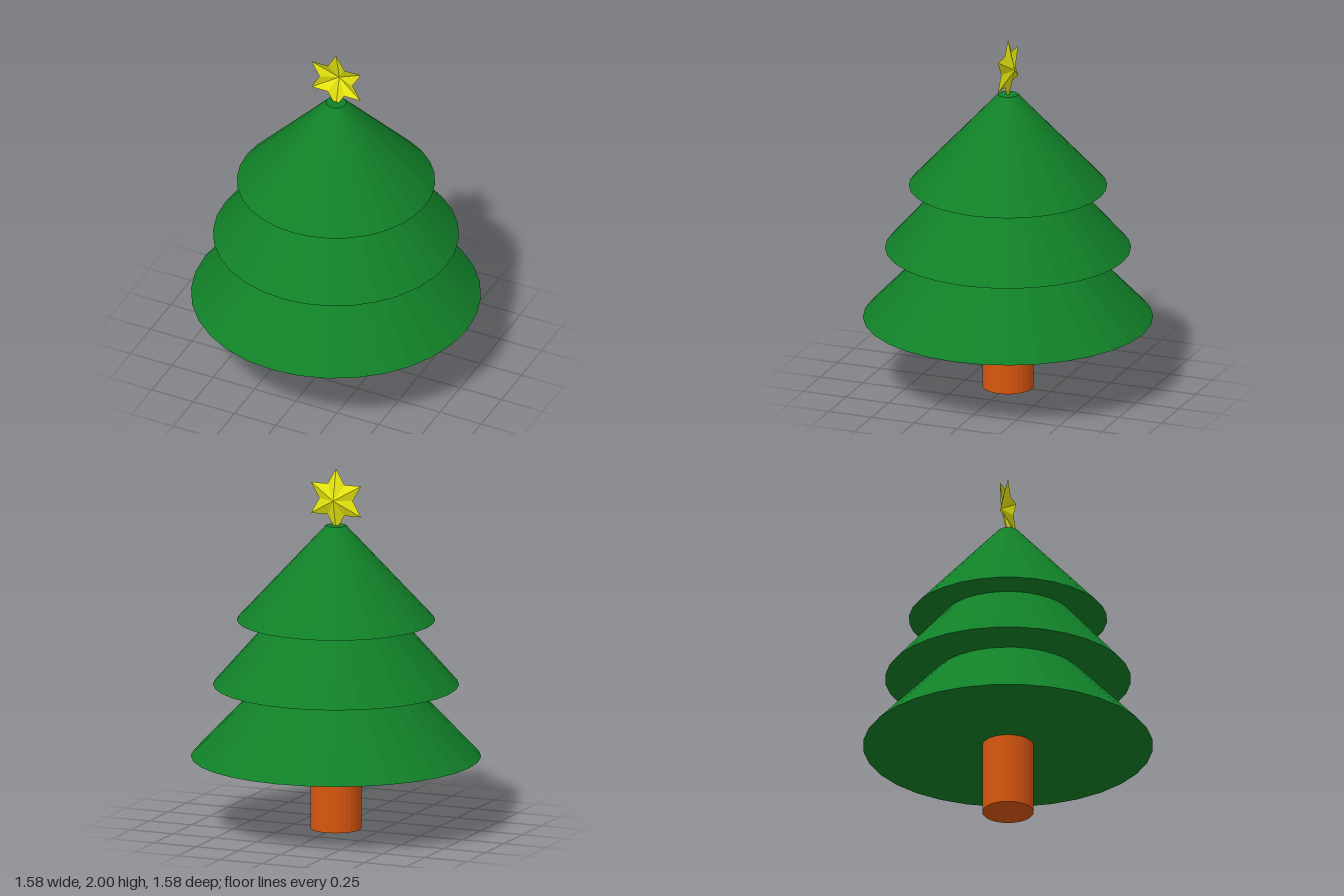
import * as THREE from 'three';

const material = (color, side = THREE.FrontSide) =>
  new THREE.MeshStandardMaterial({ color, side, flatShading: true });

// Upright round part between two heights
function frustum(name, bottomRadius, topRadius, y0, y1, mat) {
  const geometry = new THREE.CylinderGeometry(topRadius, bottomRadius, y1 - y0, 32);
  const mesh = new THREE.Mesh(geometry, mat);
  mesh.name = name;
  mesh.position.y = (y0 + y1) / 2;
  return mesh;
}

// Open six-pointed shell: a fan of facets around a raised centre facing -z
function starGeometry(outer, inner, depth) {
  const points = 6;
  const rim = (i) => {
    const angle = (i * Math.PI) / points;
    const r = i % 2 ? inner : outer;
    return [r * Math.sin(angle), r * Math.cos(angle), 0];
  };
  const positions = [];
  for (let i = 0; i < points * 2; i++) {
    positions.push(0, 0, -depth, ...rim(i), ...rim(i + 1));
  }
  const geometry = new THREE.BufferGeometry();
  geometry.setAttribute('position', new THREE.Float32BufferAttribute(positions, 3));
  geometry.computeVertexNormals();
  return geometry;
}

export function createModel() {
  const tree = new THREE.Group();
  tree.name = 'christmasTree';

  // Trunk
  tree.add(frustum('trunk', 0.14, 0.14, 0, 0.41, material(0xd9560f)));

  // Three tiers of branches, each tucked into the one above
  const green = material(0x118028);
  tree.add(frustum('lowerBranches', 0.79, 0.4, 0.4, 0.81, green));
  tree.add(frustum('middleBranches', 0.67, 0.345, 0.8, 1.17, green));
  tree.add(frustum('upperBranches', 0.54, 0.055, 1.16, 1.685, green));

  // Star on the tip
  const radius = 0.172;
  const star = new THREE.Mesh(
    starGeometry(radius, radius / Math.sqrt(3), 0.04),
    material(0xe8e810, THREE.DoubleSide)
  );
  star.name = 'star';
  star.position.y = 2 - radius;
  tree.add(star);

  return tree;
}
